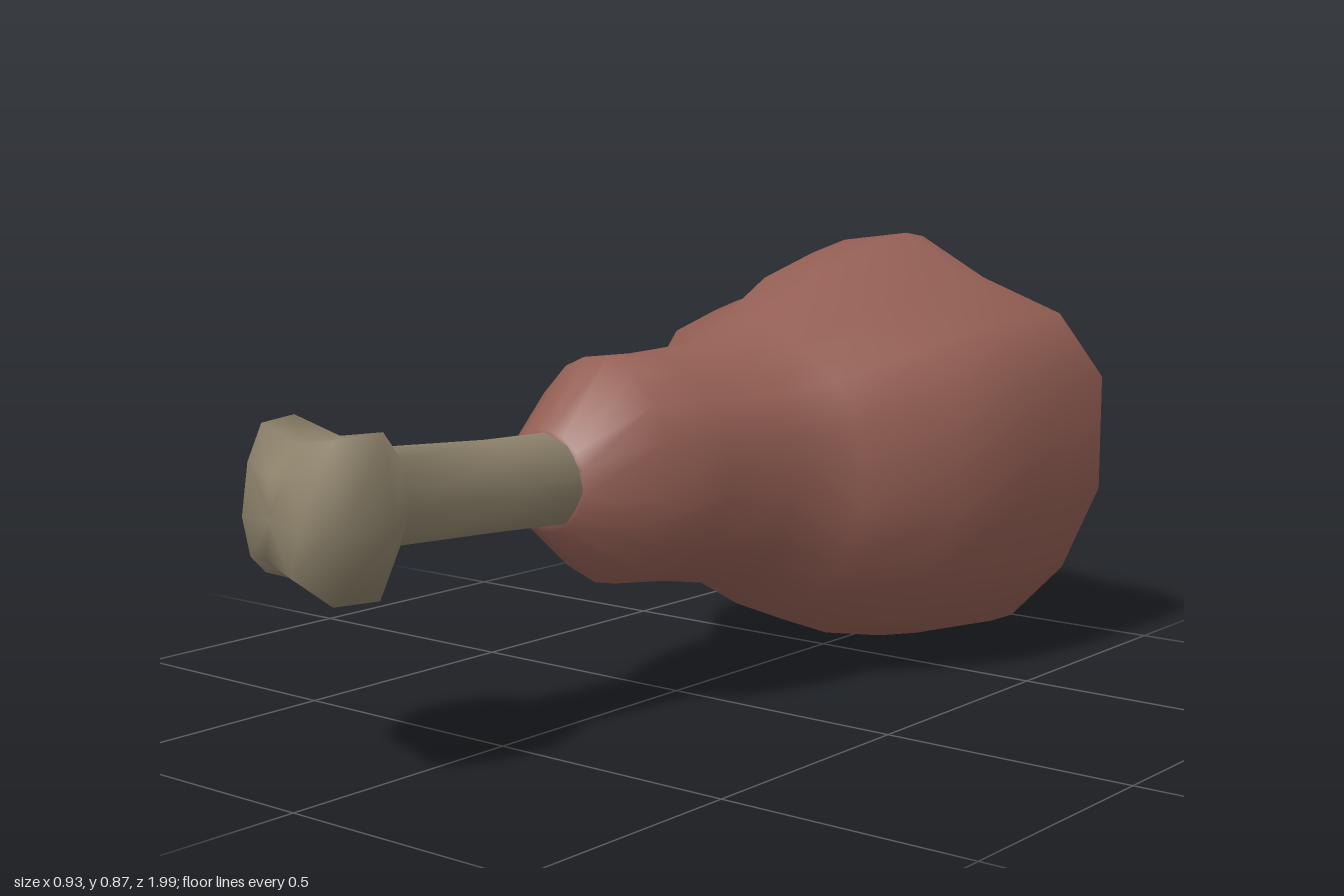
import * as THREE from 'three';
import { mergeVertices } from 'three/addons/utils/BufferGeometryUtils.js';

// Smooth skin over closed rows of [x, y, z] points, rows running front to back
function loft(rows) {
  const n = rows[0].length, index = [];
  for (let i = 0; i < rows.length - 1; i++) {
    for (let j = 0; j < n; j++) {
      const a = i * n + j, b = i * n + (j + 1) % n;
      index.push(a, b, a + n, b, b + n, a + n);
    }
  }
  const geo = new THREE.BufferGeometry();
  geo.setAttribute('position', new THREE.Float32BufferAttribute(rows.flat(2), 3));
  geo.setIndex(index);
  const merged = mergeVertices(geo, 1e-4);
  merged.computeVertexNormals();
  return merged;
}

// Cross-section blended between an ellipse (w = 0) and the outline (w = 1)
function section(outline, z, cx, rx, cy, ry, w, tilt = 0) {
  return outline.map(([u, v]) => {
    const r = Math.hypot(u, v), k = w + (1 - w) / r;
    return [cx + rx * u * k, cy + ry * v * k, z + tilt * u * k];
  });
}

const normalise = (pts, cx, cy, rx, ry) => pts.map(([x, y]) => [(x - cx) / rx, (y - cy) / ry]);

// Outlines, clockwise from the front
const HAM = normalise([
  [-0.36, 0.71], [-0.18, 0.765], [-0.09, 0.855], [0.06, 0.875], [0.2, 0.79], [0.37, 0.72],
  [0.465, 0.59], [0.465, 0.35], [0.39, 0.17], [0.28, 0.05], [0.1, 0], [-0.03, 0.02],
  [-0.2, 0.085], [-0.37, 0.13], [-0.44, 0.25], [-0.465, 0.41], [-0.44, 0.565],
], 0, 0.4375, 0.465, 0.4375);
const KNOB = normalise([
  [-0.23, 0.62], [-0.08, 0.6], [0.055, 0.622], [0.09, 0.47],
  [0.035, 0.335], [-0.12, 0.358], [-0.23, 0.35], [-0.28, 0.455],
], -0.095, 0.48, 0.185, 0.143);

// Depth of the lumpy cut face; s is 0 at the centre and 1 at the rim
function cutDepth(x, y, s) {
  const lump = (cx, cy, r, h) => h * Math.exp(-((x - cx) ** 2 + (y - cy) ** 2) / (r * r));
  return -0.76 - 0.17 * x - 0.12 * (1 - s ** 4)
    - (1 - s ** 4) * (lump(0.23, 0.39, 0.16, 0.09) + lump(-0.24, 0.36, 0.08, 0.09));
}

export function createModel() {
  const group = new THREE.Group();
  const meat = new THREE.MeshStandardMaterial({ color: 0x945f54 });
  meat.name = 'meat';
  const bone = new THREE.MeshStandardMaterial({ color: 0x8d826b });
  bone.name = 'bone';
  const add = (name, geo, mat) => {
    const mesh = new THREE.Mesh(geo, mat);
    mesh.name = name;
    group.add(mesh);
  };

  // Meat: z, centre x, half width, top, bottom, outline blend, tilt
  const meatRows = [
    [0.33, -0.03, 0.06, 0.52, 0.41, 0, 0],
    [0.36, -0.02, 0.1, 0.565, 0.375, 0, 0],
    [0.23, 0, 0.175, 0.69, 0.26, 0, 0],
    [0.1, 0.005, 0.207, 0.685, 0.245, 0, 0],
    [-0.08, 0.01, 0.225, 0.69, 0.21, 0.1, 0],
    [-0.2, 0.015, 0.29, 0.73, 0.14, 0.4, 0],
    [-0.36, 0.02, 0.4, 0.81, 0.07, 0.8, 0],
    [-0.55, 0.015, 0.437, 0.855, 0.03, 1, -0.02],
    [-0.7, 0, 0.46, 0.875, 0.005, 1, -0.05],
    [-0.76, 0, 0.465, 0.865, 0.005, 1, -0.079],
  ].map(([z, cx, rx, top, bottom, w, tilt]) =>
    section(HAM, z, cx, rx, (top + bottom) / 2, (top - bottom) / 2, w, tilt));
  add('meat', loft(meatRows), meat);

  // Cut face closing the thick end
  const rim = meatRows[meatRows.length - 1];
  const cutRows = [1, 0.94, 0.84, 0.72, 0.6, 0.48, 0.36, 0.24, 0.12, 0].map(s => rim.map(([x, y]) => {
    const px = x * s, py = 0.435 + (y - 0.435) * s;
    return [px, py, cutDepth(px, py, s)];
  }));
  add('cutFace', loft(cutRows), meat);

  // Ring of bone showing in the cut face
  const ringRows = [[0.1, 0.02], [0.095, -0.012], [0.045, -0.012], [0.04, 0.02]].map(([r, lift]) =>
    Array.from({ length: 10 }, (_, j) => {
      const a = -j / 10 * Math.PI * 2;
      const x = -0.1 + r * Math.cos(a), y = 0.52 + r * Math.sin(a);
      return [x, y, cutDepth(x, y, Math.hypot(x / 0.465, (y - 0.435) / 0.43)) + lift];
    }));
  add('boneRing', loft(ringRows), bone);

  // Bone: z, centre x, half width, centre y, half height, outline blend, tilt
  const boneRows = [
    [0.95, -0.095, 0.0001, 0.48, 0.0001, 1, 0],
    [0.96, -0.085, 0.11, 0.48, 0.085, 1, 0.036],
    [0.89, -0.095, 0.172, 0.48, 0.138, 1, 0.05],
    [0.8, -0.095, 0.185, 0.48, 0.143, 1, 0.04],
    [0.71, -0.077, 0.1, 0.485, 0.09, 0.2, 0.03],
    [0.5, -0.045, 0.097, 0.474, 0.088, 0, 0],
    [0.28, -0.025, 0.105, 0.467, 0.092, 0, 0],
  ].map(row => section(KNOB, ...row));
  add('legBone', loft(boneRows), bone);

  return group;
}
